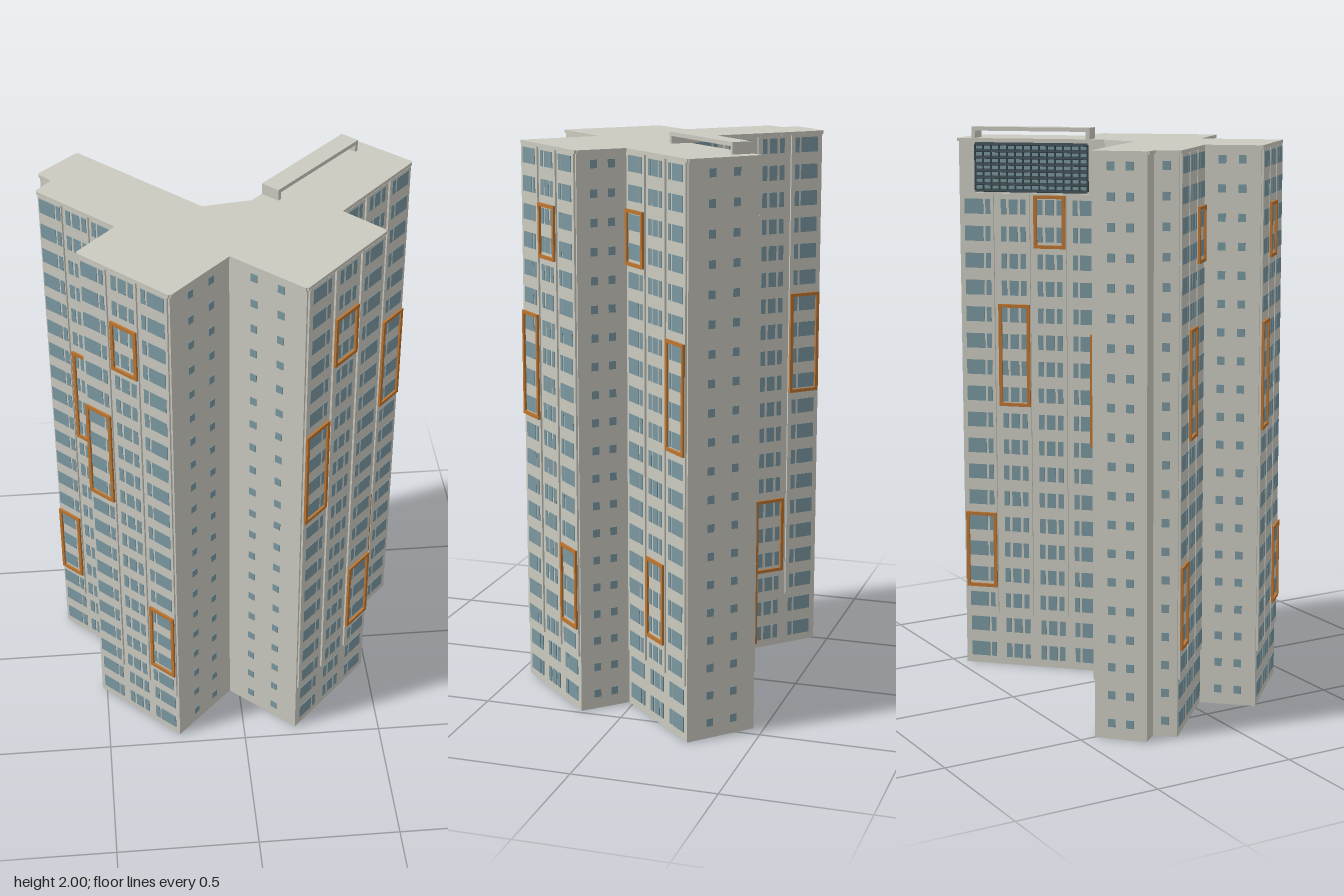
import * as THREE from 'three';
import { mergeGeometries } from 'three/addons/utils/BufferGeometryUtils.js';

const mat = (name, color) => {
  const m = new THREE.MeshStandardMaterial({ color });
  m.name = name;
  return m;
};

const HEIGHT = 1.96, FLOORS = 20, FLOOR_STEP = 0.0977, FIRST_ROW = 0.056, PAD_BASE = 0.2;

// Frame spans (bottom, top)
const LOW = [0.30, 0.585], MID = [0.99, 1.365], HIGH = [1.57, 1.76];

// Footprint corners [x, z], counter-clockwise seen from above; each corner starts one wall.
// bays: framed span for each balcony bay; cols: columns of small windows.
const WALLS = [
  { p: [-0.63, -0.32], cols: 0 },
  { p: [-0.586, -0.27], cols: 1 },
  { p: [-0.64, -0.207], bays: [LOW, MID, HIGH] },
  { p: [-0.383, 0.045], cols: 2 },
  { p: [-0.517, 0.19], bays: [MID, HIGH, LOW] },
  { p: [-0.24, 0.46], cols: 2 },
  { p: [-0.035, 0.25], cols: 2 },
  { p: [0.19, 0.46], bays: [MID, HIGH, LOW] },
  { p: [0.485, 0.15], cols: 2 },
  { p: [0.355, 0.017], bays: [HIGH, LOW, MID] },
  { p: [0.64, -0.285], cols: 2 },
  { p: [0.45, -0.465], bays: [LOW, MID, HIGH, null], louvres: true },
  { p: [0.075, -0.075], cols: 2 },
  { p: [-0.10, -0.05], bays: [HIGH, null, LOW, MID] },
  { p: [-0.50, -0.445], cols: 2 },
];

// Box placed by its centre
function box(w, h, d, x, y, z) {
  return new THREE.BoxGeometry(w, h, d).translate(x, y, z);
}

function addMesh(parent, name, geos, material) {
  if (!geos.length) return;
  const mesh = new THREE.Mesh(mergeGeometries(geos), material);
  mesh.name = name;
  parent.add(mesh);
}

// Hollow rectangular frame made from four bars
function frame(x, w, [y0, y1], z) {
  const t = 0.012, d = 0.009, h = y1 - y0, cy = (y0 + y1) / 2;
  return [
    box(t, h, d, x - w / 2 + t / 2, cy, z),
    box(t, h, d, x + w / 2 - t / 2, cy, z),
    box(w - 2 * t, t, d, x, y0 + t / 2, z),
    box(w - 2 * t, t, d, x, y1 - t / 2, z),
  ];
}

export function createModel() {
  const model = new THREE.Group();
  model.name = 'towerBlock';
  const wall = mat('concrete', 0xcbcac0);
  const glass = mat('glass', 0x7a97a0);
  const trim = mat('copperTrim', 0xbd7530);
  const dark = mat('darkMetal', 0x37454a);

  // Main volume with a slim roof edge
  const shape = new THREE.Shape(WALLS.map(({ p }) => new THREE.Vector2(p[0], -p[1])));
  const body = new THREE.ExtrudeGeometry(shape, { depth: HEIGHT, bevelEnabled: false });
  addMesh(model, 'building', [body.rotateX(-Math.PI / 2)], wall);

  WALLS.forEach((spec, i) => {
    const a = spec.p, b = WALLS[(i + 1) % WALLS.length].p;
    const dx = b[0] - a[0], dz = b[1] - a[1], len = Math.hypot(dx, dz);

    // Local frame: x along the wall, z outward
    const side = new THREE.Group();
    side.name = spec.bays ? 'bayFacade' : 'endWall';
    side.position.set(a[0], 0, a[1]);
    side.rotation.y = Math.atan2(-dz, dx);
    model.add(side);

    const pads = [], panes = [], frames = [];
    pads.push(box(len, 0.012, 0.008, len / 2, HEIGHT - 0.006, 0.002));

    if (spec.bays) {
      const n = spec.bays.length, slot = len / n;
      spec.bays.forEach((span, k) => {
        const cx = (k + 0.5) * slot, w = slot - 0.014;
        const outer = k === 0 || k === n - 1;
        // Shallow projecting bay above the plinth
        const padTop = spec.louvres ? 1.765 : HEIGHT - 0.012;
        pads.push(box(w, padTop - PAD_BASE, 0.008, cx, (padTop + PAD_BASE) / 2, 0.003));
        // Wide pane plus narrow light on outer bays, three lights on inner bays
        const flip = k === 0 ? 1 : -1;
        const layout = outer
          ? [[-0.012 * flip, 0.07], [0.04 * flip, 0.018]]
          : [[-0.036, 0.02], [0, 0.032], [0.036, 0.02]];
        const floors = spec.louvres ? FLOORS - 2 : FLOORS;
        for (let f = 0; f < floors; f++) {
          const y = FIRST_ROW + f * FLOOR_STEP;
          const z = y > PAD_BASE ? 0.007 : 0.001;
          for (const [ox, pw] of layout) panes.push(box(pw, 0.054, 0.004, cx + ox, y, z));
        }
        if (span) frames.push(...frame(cx, w - 0.004, span, 0.0105));
      });
    } else {
      for (let c = 0; c < spec.cols; c++) {
        const x = spec.cols === 1 ? len / 2 : len * (c ? 0.68 : 0.33);
        for (let f = 0; f < FLOORS; f++) {
          panes.push(box(0.026, 0.028, 0.004, x, FIRST_ROW + f * FLOOR_STEP, 0.001));
        }
      }
    }

    // Louvred glazing across the top two floors
    if (spec.louvres) {
      const w = len * 0.77, y0 = 1.775, h = 0.165, slats = [];
      panes.push(box(w, h, 0.004, len / 2, y0 + h / 2, 0.001));
      for (let r = 0; r <= 7; r++) {
        slats.push(new THREE.BoxGeometry(w, 0.012, 0.003).rotateX(-0.6)
          .translate(len / 2, y0 + (r * h) / 7, 0.006));
      }
      for (let c = 0; c <= 14; c++) {
        slats.push(box(0.006, h, 0.006, len / 2 + (c / 14 - 0.5) * w, y0 + h / 2, 0.004));
      }
      addMesh(side, 'louvres', slats, dark);
    }

    addMesh(side, 'bayPanels', pads, wall);
    addMesh(side, 'windows', panes, glass);
    addMesh(side, 'bayFrames', frames, trim);
  });

  // Roof canopy standing on two end walls beside the louvred facade
  const canopy = new THREE.Group();
  canopy.name = 'roofCanopy';
  canopy.position.set(0.289, 0, -0.249);
  canopy.rotation.y = Math.PI / 4;
  const cl = 0.44, cw = 0.07;
  addMesh(canopy, 'canopyParts', [
    box(cl, 0.014, cw, 0, 1.993, 0),
    ...[-1, 1].map((s) => box(0.014, 0.03, cw, s * (cl / 2 - 0.007), 1.972, 0)),
  ], wall);
  model.add(canopy);

  return model;
}
